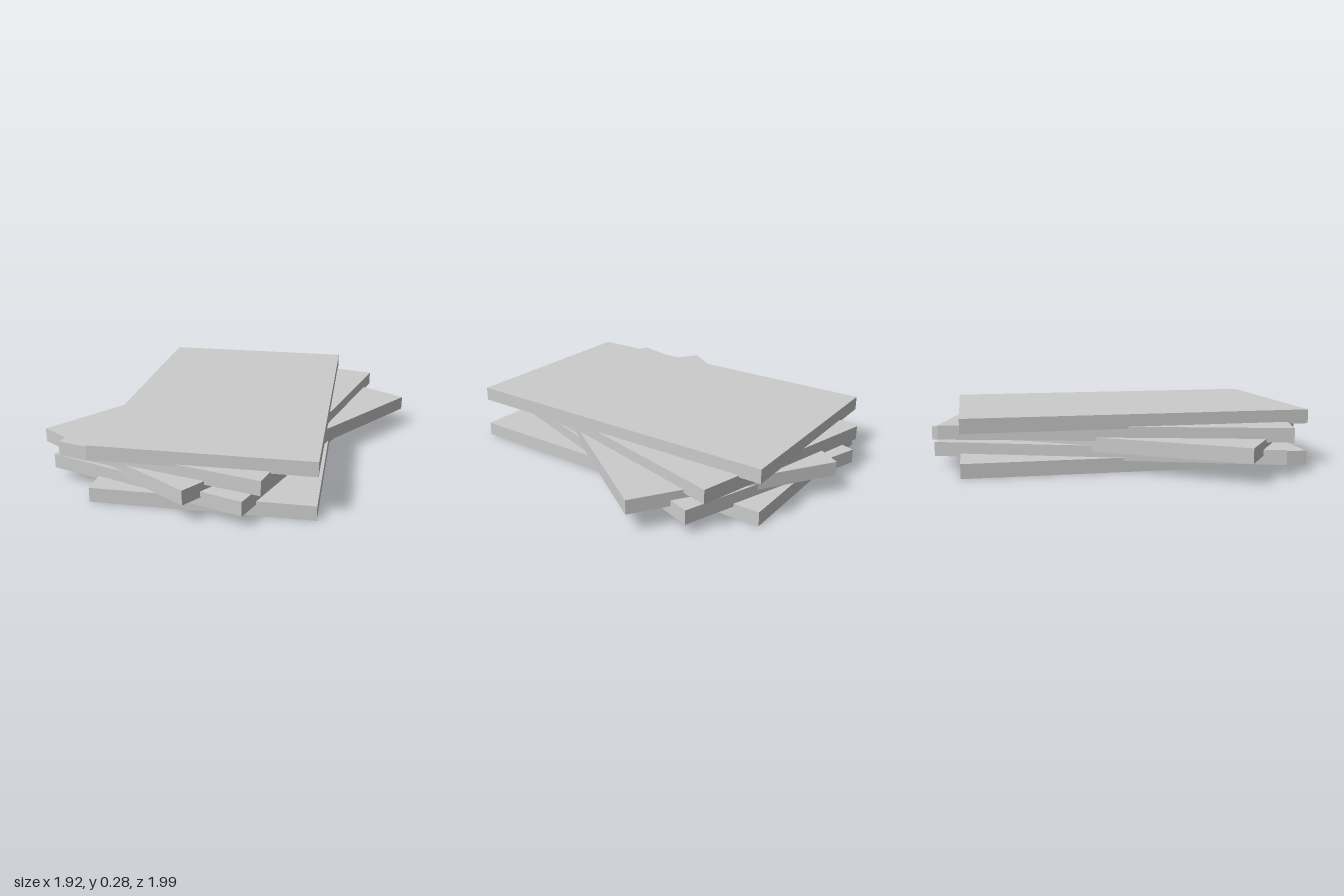
import * as THREE from 'three';

export function createModel() {
  const group = new THREE.Group();
  group.name = 'slabStack';
  const lightGrey = new THREE.MeshStandardMaterial({ color: 0xcccccc });
  lightGrey.name = 'lightGrey';

  // Identical slabs, slightly sunk into each other, each turned about the vertical axis
  const thickness = 0.07;
  const slab = new THREE.BoxGeometry(1.04, thickness, 1.706);
  const layers = [
    ['bottomSlab', 0, 42.4],
    ['lowerSlab', 0.055, 23.1],
    ['middleSlab', 0.096, 8.4],
    ['upperSlab', 0.149, 27.7],
    ['topSlab', 0.209, 42.4],
  ];
  for (const [name, base, degrees] of layers) {
    const mesh = new THREE.Mesh(slab, lightGrey);
    mesh.name = name;
    mesh.position.y = base + thickness / 2;
    mesh.rotation.y = THREE.MathUtils.degToRad(degrees);
    group.add(mesh);
  }
  return group;
}
